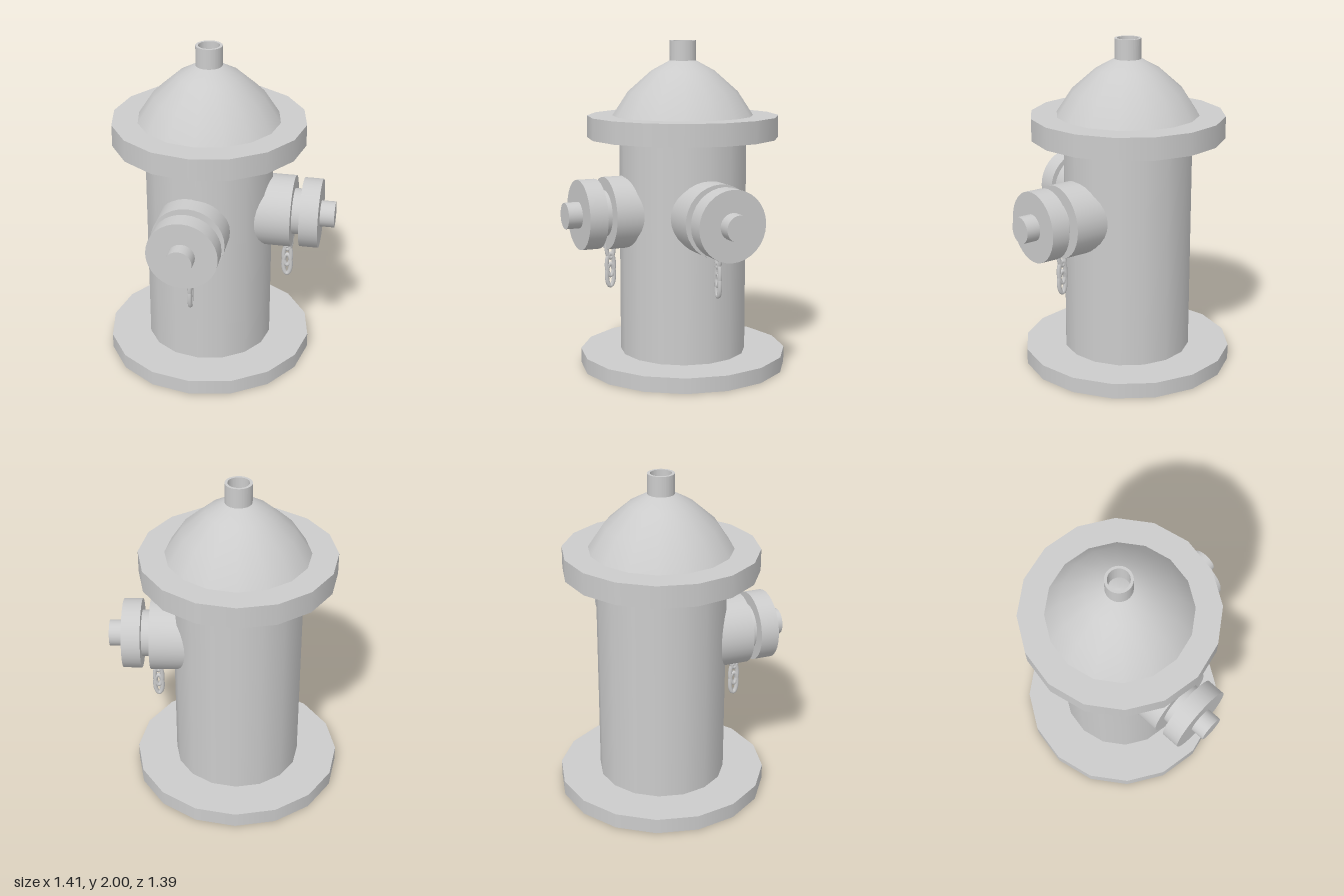
import * as THREE from 'three';

const AXIS_X = -0.072, AXIS_Z = -0.057;
const grey = new THREE.MeshStandardMaterial({ color: 0xcccccc });
const greyDouble = new THREE.MeshStandardMaterial({ color: 0xcccccc, side: THREE.DoubleSide });

function add(parent, name, geometry, material = grey) {
  const mesh = new THREE.Mesh(geometry, material);
  mesh.name = name;
  parent.add(mesh);
  return mesh;
}

// Cylinder spanning a to b along its own axis
function drum(parent, name, radius, a, b, sides) {
  const geometry = new THREE.CylinderGeometry(radius, radius, b - a, sides);
  geometry.translate(0, (a + b) / 2, 0);
  return add(parent, name, geometry);
}

// Three overlapping oval links hanging in one plane
function makeChain() {
  const chain = new THREE.Group();
  chain.name = 'chain';
  const points = [];
  for (let i = 0; i < 16; i++) {
    const a = (i / 16) * Math.PI * 2;
    points.push(new THREE.Vector3(0.023 * Math.cos(a), 0.068 * Math.sin(a), 0));
  }
  const oval = new THREE.CatmullRomCurve3(points, true);
  const link = new THREE.TubeGeometry(oval, 32, 0.0135, 8, true);
  for (const y of [0.597, 0.66, 0.77]) add(chain, 'chainLink', link).position.y = y;
  return chain;
}

// Outlet pointing along +y of its group, tipped over by the caller
function makeOutlet() {
  const outlet = new THREE.Group();
  outlet.name = 'outlet';
  drum(outlet, 'outletCollar', 0.218, 0.1, 0.45, 32);
  drum(outlet, 'outletNeck', 0.14, 0.44, 0.51, 32);
  drum(outlet, 'outletCap', 0.21, 0.502, 0.614, 32);
  drum(outlet, 'outletNut', 0.079, 0.6, 0.7, 24);
  return outlet;
}

export function createModel() {
  const model = new THREE.Group();
  model.name = 'hydrant';

  // Barrel with its flanges, sixteen sided
  const column = new THREE.Group();
  column.name = 'column';
  column.position.set(AXIS_X, 0, AXIS_Z);
  model.add(column);
  drum(column, 'baseFlange', 0.635, 0, 0.093, 16);
  drum(column, 'barrel', 0.387, 0.08, 1.43, 16);
  drum(column, 'topFlange', 0.581, 1.417, 1.55, 16);

  // Domed bonnet
  const dome = [[0.43, 1.545], [0.332, 1.695], [0.19, 1.82], [0.08, 1.88], [0, 1.885]]
    .map(([r, y]) => new THREE.Vector2(r, y));
  add(column, 'bonnet', new THREE.LatheGeometry(dome, 16), greyDouble);

  // Open pipe on top of the bonnet
  const ring = new THREE.Shape().absarc(0, 0, 0.079, 0, Math.PI * 2);
  ring.holes.push(new THREE.Path().absarc(0, 0, 0.063, 0, Math.PI * 2, true));
  const pipe = new THREE.ExtrudeGeometry(ring, { depth: 0.13, bevelEnabled: false, curveSegments: 24 });
  pipe.rotateX(-Math.PI / 2);
  add(column, 'topPipe', pipe).position.y = 1.87;

  // Front outlet and its chain
  const front = makeOutlet();
  front.name = 'frontOutlet';
  front.rotation.x = Math.PI / 2;
  front.position.set(-0.102, 0.977, -0.005);
  const frontChain = makeChain();
  frontChain.rotation.y = Math.PI / 2;
  frontChain.position.set(-0.096, 0, 0.413);

  // Left outlet and its chain
  const side = makeOutlet();
  side.name = 'leftOutlet';
  side.rotation.z = -Math.PI / 2;
  side.position.set(0, 0.977, -0.057);
  const sideChain = makeChain();
  sideChain.position.set(0.417, 0, -0.062);

  model.add(front, frontChain, side, sideChain);
  return model;
}
